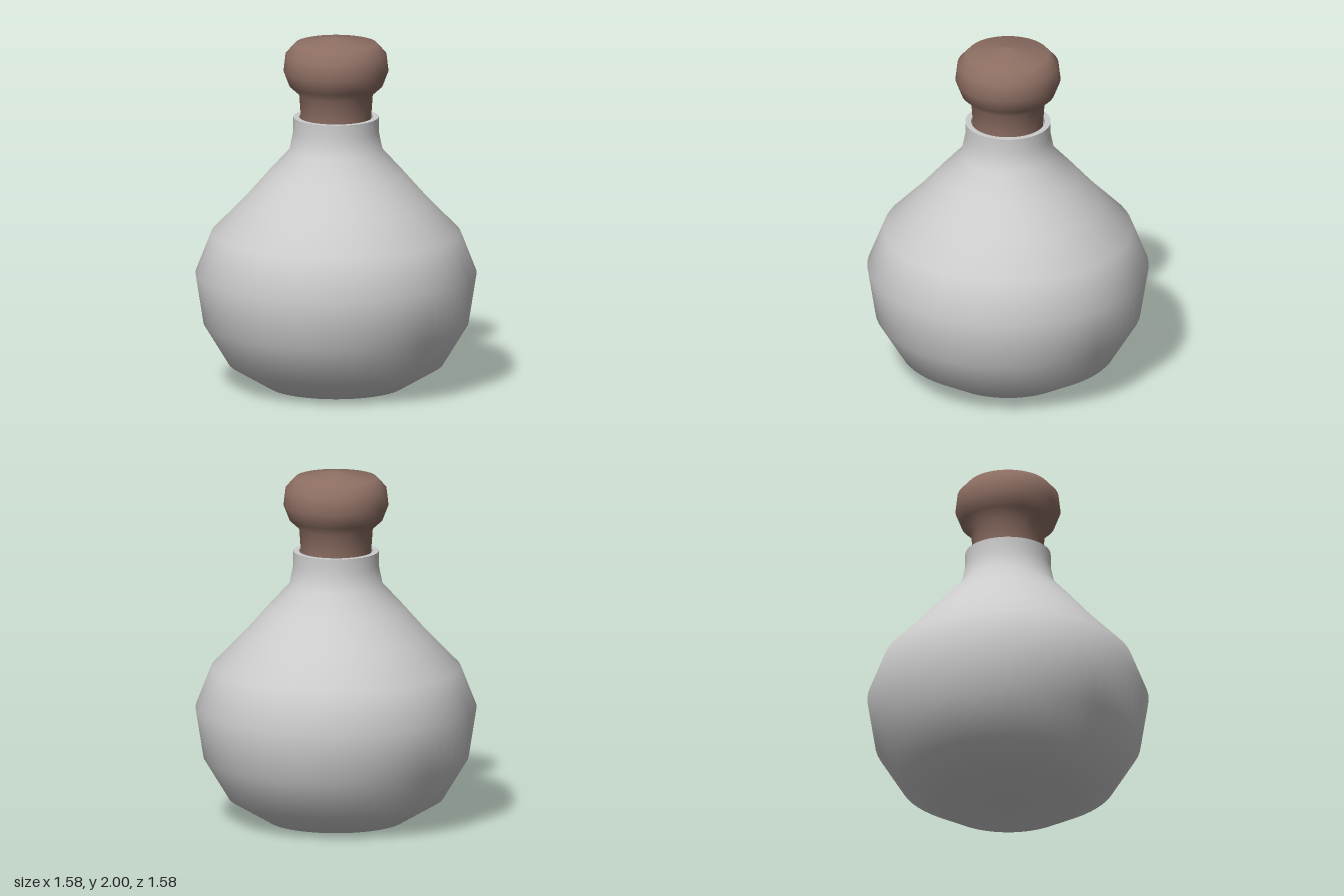
import * as THREE from 'three';

const SEGMENTS = 64;

// Turns a bottom-to-top list of [radius, height] pairs around the y axis
function turned(name, profile, color) {
  const points = profile.map(([r, y]) => new THREE.Vector2(r, y));
  const material = new THREE.MeshStandardMaterial({ color, side: THREE.DoubleSide });
  const mesh = new THREE.Mesh(new THREE.LatheGeometry(points, SEGMENTS), material);
  mesh.name = name;
  return mesh;
}

export function createModel() {
  const model = new THREE.Group();
  model.name = 'stopperedFlask';

  // Round body with sloping shoulders and a short neck
  model.add(turned('flaskBody', [
    [0, 0], [0.385, 0.0], [0.605, 0.13], [0.745, 0.36], [0.79, 0.645],
    [0.7, 0.875], [0.52, 1.06], [0.385, 1.215], [0.262, 1.35],
    [0.24, 1.46], [0.24, 1.54],
  ], 0xcccccc));

  // Flat lip and inner wall of the neck
  model.add(turned('neckLip', [[0.24, 1.54], [0.207, 1.54]], 0xcccccc));
  model.add(turned('neckInside', [[0.207, 1.54], [0.207, 1.38]], 0xcccccc));

  // Stopper: plug sitting in the neck, flaring into a rounded knob
  model.add(turned('stopper', [
    [0, 1.4], [0.195, 1.4], [0.198, 1.54], [0.207, 1.67], [0.262, 1.72],
    [0.295, 1.805], [0.284, 1.9], [0.23, 1.96], [0, 2],
  ], 0x8d6e63));

  return model;
}
